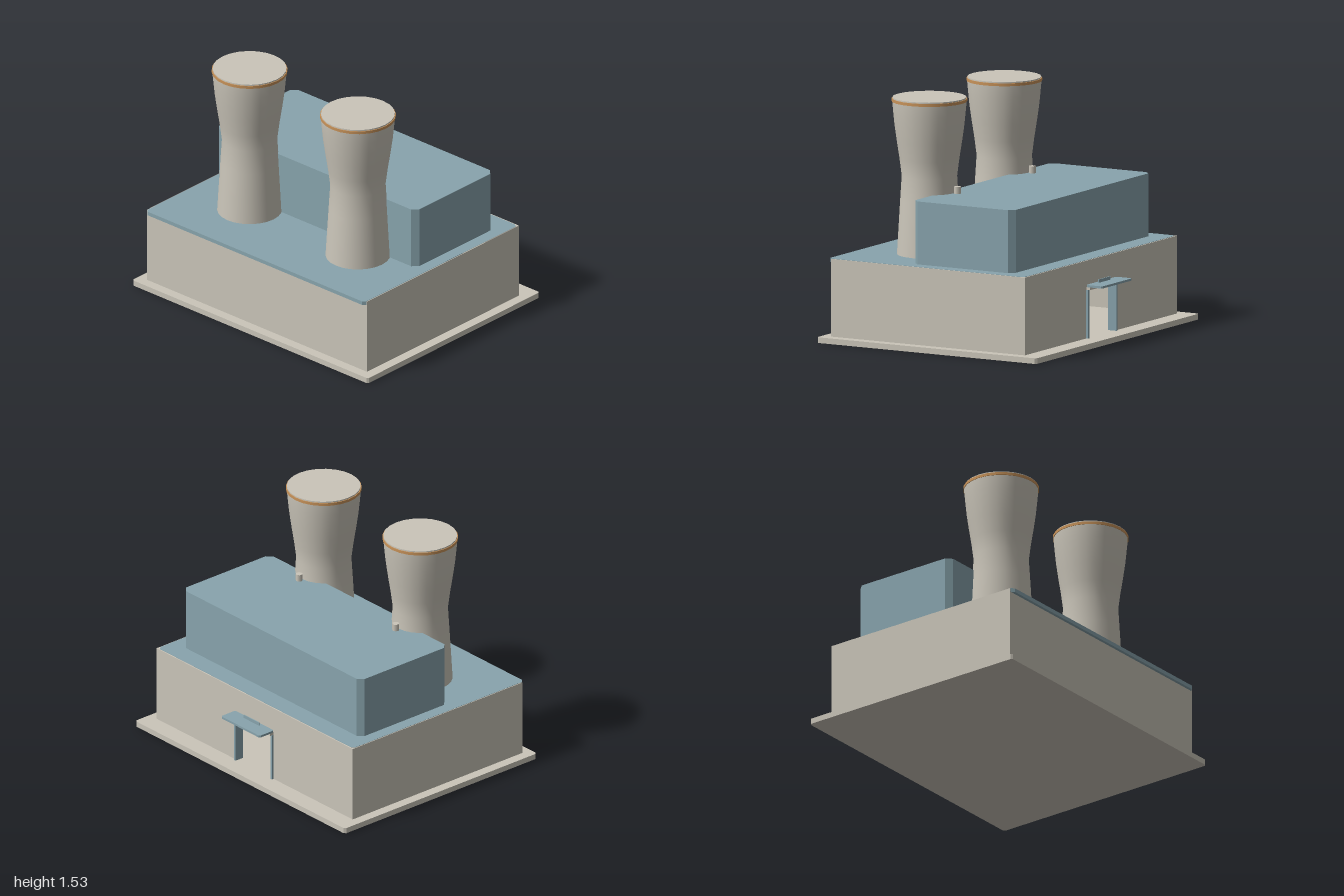
import * as THREE from 'three';

export function createModel() {
  const model = new THREE.Group();
  const paint = (name, color) => {
    const m = new THREE.MeshStandardMaterial({ color });
    m.name = name;
    return m;
  };
  const concrete = paint('concrete', 0xcac5b9);
  const blue = paint('blue cladding', 0x88a4ad);
  const orange = paint('orange trim', 0xc8935a);

  const add = (name, geometry, material, x = 0, y = 0, z = 0) => {
    const mesh = new THREE.Mesh(geometry, material);
    mesh.name = name;
    mesh.position.set(x, y, z);
    model.add(mesh);
    return mesh;
  };

  // box given by its minimum and maximum corners
  const box = (name, material, [x0, y0, z0], [x1, y1, z1]) =>
    add(name, new THREE.BoxGeometry(x1 - x0, y1 - y0, z1 - z0), material,
      (x0 + x1) / 2, (y0 + y1) / 2, (z0 + z1) / 2);

  // horizontal slab with cut corners, symmetric in z
  const slab = (name, material, x0, x1, halfZ, y0, y1, cut) => {
    const s = new THREE.Shape([
      [x0 + cut, -halfZ], [x1 - cut, -halfZ], [x1, cut - halfZ], [x1, halfZ - cut],
      [x1 - cut, halfZ], [x0 + cut, halfZ], [x0, halfZ - cut], [x0, cut - halfZ],
    ].map(([x, z]) => new THREE.Vector2(x, z)));
    const g = new THREE.ExtrudeGeometry(s, { depth: y1 - y0, bevelEnabled: false });
    g.rotateX(-Math.PI / 2);
    return add(name, g, material, 0, y0, 0);
  };

  const floorY = 0.036, wallTop = 0.53, t = 0.04;
  slab('basePlate', concrete, -0.8, 0.8, 1, 0, floorY, 0.012);

  // hollow hall: three plain walls and one with a doorway
  box('backWall', concrete, [-0.735, floorY, -0.935], [-0.735 + t, wallTop, 0.935]);
  for (const s of [-1, 1]) {
    const z = s * (0.935 - t / 2);
    box('sideWall', concrete, [-0.735 + t, floorY, z - t / 2], [0.678 - t, wallTop, z + t / 2]);
  }
  const wall = new THREE.Shape([
    [-0.935, floorY], [-0.175, floorY], [-0.175, 0.345], [0.175, 0.345],
    [0.175, floorY], [0.935, floorY], [0.935, wallTop], [-0.935, wallTop],
  ].map(([a, b]) => new THREE.Vector2(a, b)));
  const wallGeo = new THREE.ExtrudeGeometry(wall, { depth: t, bevelEnabled: false });
  wallGeo.rotateY(Math.PI / 2);
  add('doorWall', wallGeo, concrete, 0.678 - t);

  // roof and upper hall
  slab('roof', blue, -0.755, 0.67, 0.93, 0.507, 0.532, 0.02);
  slab('upperHall', blue, -0.192, 0.54, 0.85, 0.53, 0.932, 0.036);

  // entrance
  for (const s of [-1, 1]) {
    const z = s * 0.174;
    box('doorPost', blue, [0.63, floorY, z - 0.008], [0.692, 0.345, z + 0.008]);
  }
  box('lintel', concrete, [0.67, 0.345, -0.18], [0.705, 0.363, 0.18]);
  slab('canopy', blue, 0.678, 0.797, 0.184, 0.363, 0.377, 0.01);
  box('canopyBatten', blue, [0.73, 0.357, -0.155], [0.738, 0.364, 0.155]);
  box('canopyFin', blue, [0.7, 0.376, -0.073], [0.706, 0.398, 0.073]);

  // cooling towers with rim bands, and roof vents
  const profile = [[0.204, 0.53], [0.194, 0.7], [0.184, 0.87], [0.174, 1.03],
    [0.188, 1.14], [0.205, 1.25], [0.219, 1.35], [0.227, 1.43], [0.234, 1.505], [0.232, 1.53]]
    .map(([r, y]) => new THREE.Vector2(r, y));
  for (const z of [-0.46, 0.46]) {
    add('coolingTower', new THREE.LatheGeometry(profile, 24), concrete, -0.3, 0, z);
    const cap = new THREE.CircleGeometry(0.232, 24);
    cap.rotateX(-Math.PI / 2);
    cap.rotateY(Math.PI / 2);
    add('towerCap', cap, concrete, -0.3, 1.53, z);
    add('towerRim', new THREE.CylinderGeometry(0.238, 0.238, 0.018, 24), orange, -0.3, 1.513, z);
    add('roofVent', new THREE.CylinderGeometry(0.022, 0.022, 0.05, 10), concrete, -0.095, 0.952, z);
  }
  return model;
}
